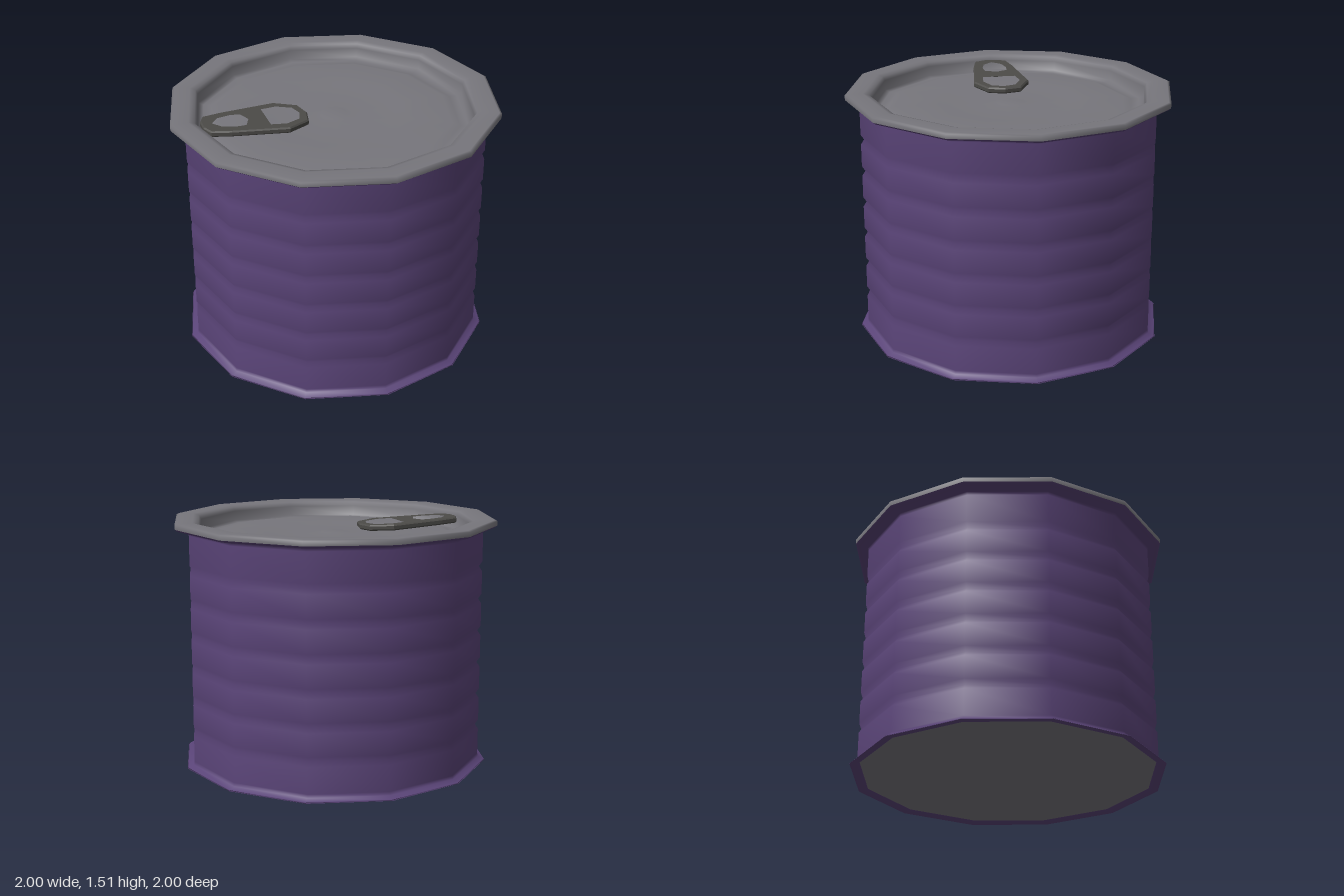
import * as THREE from 'three';

const SIDES = 12;
const purple = new THREE.MeshStandardMaterial({ color: 0x5a4478 });
const steel = new THREE.MeshStandardMaterial({ color: 0x77767c });
const darkSteel = new THREE.MeshStandardMaterial({ color: 0x4c4b48 });

// Twelve-sided turned part; profile is [radius, y] pairs
function turned(name, profile, material) {
  const points = profile.map(([r, y]) => new THREE.Vector2(r, y));
  const mesh = new THREE.Mesh(new THREE.LatheGeometry(points, SIDES), material);
  mesh.name = name;
  return mesh;
}

// Closed outline symmetric about the x axis, from one half listed as [x, z]
function mirrored(half, Type) {
  const other = half.filter(([, z]) => z !== 0).reverse().map(([x, z]) => [x, -z]);
  return new Type([...half, ...other].map(([x, z]) => new THREE.Vector2(x, z)));
}

export function createModel() {
  const can = new THREE.Group();
  can.name = 'tinCan';

  // Ribbed wall with flared foot and the flange under the lid
  const wall = [[0.9, 0.012], [0.92, 0], [0.96, 0], [0.955, 0.006], [0.918, 0.018], [0.915, 0.04]];
  for (let i = 0; i < 6; i++) {
    const y = 0.23 + i * 0.2;
    wall.push([0.915, y - 0.03], [0.895, y], [0.915, y + 0.03]);
  }
  wall.push([0.915, 1.44], [0.92, 1.46], [0.98, 1.467], [0.998, 1.48]);
  can.add(turned('wall', wall, purple));

  // Base plate
  can.add(turned('base', [[0, 0.014], [0.87, 0.014], [0.9, 0.012]], steel));

  // Lid: rolled rim, sunken panel, stepped ring and centre dimple
  can.add(turned('lid', [
    [0.998, 1.48], [1, 1.508], [0.985, 1.515], [0.89, 1.515], [0.855, 1.505], [0.842, 1.48],
    [0.84, 1.42], [0.81, 1.408], [0.76, 1.408], [0.71, 1.428], [0.44, 1.428],
    [0.38, 1.416], [0.11, 1.416], [0.08, 1.424], [0, 1.424],
  ], steel));

  // Pull tab with two openings, tilted up slightly towards the rim
  const outline = mirrored(
    [[-0.815, 0.04], [-0.785, 0.105], [-0.67, 0.13], [-0.33, 0.175], [-0.195, 0.105], [-0.17, 0]], THREE.Shape);
  outline.holes.push(
    mirrored([[-0.765, 0], [-0.71, 0.065], [-0.63, 0.085], [-0.56, 0.08], [-0.525, 0]], THREE.Path),
    mirrored([[-0.435, 0.11], [-0.33, 0.125], [-0.235, 0.08], [-0.21, 0]], THREE.Path),
  );
  const tabGeometry = new THREE.ExtrudeGeometry(outline, {
    depth: 0.02, bevelEnabled: true, bevelThickness: 0.008, bevelSize: 0.008, bevelOffset: -0.008, bevelSegments: 1,
  });
  tabGeometry.rotateX(-Math.PI / 2).translate(0.17, 0, 0).rotateZ(-0.04).translate(-0.17, 1.435, 0);
  const tab = new THREE.Mesh(tabGeometry, darkSteel);
  tab.name = 'pullTab';
  can.add(tab);

  return can;
}
